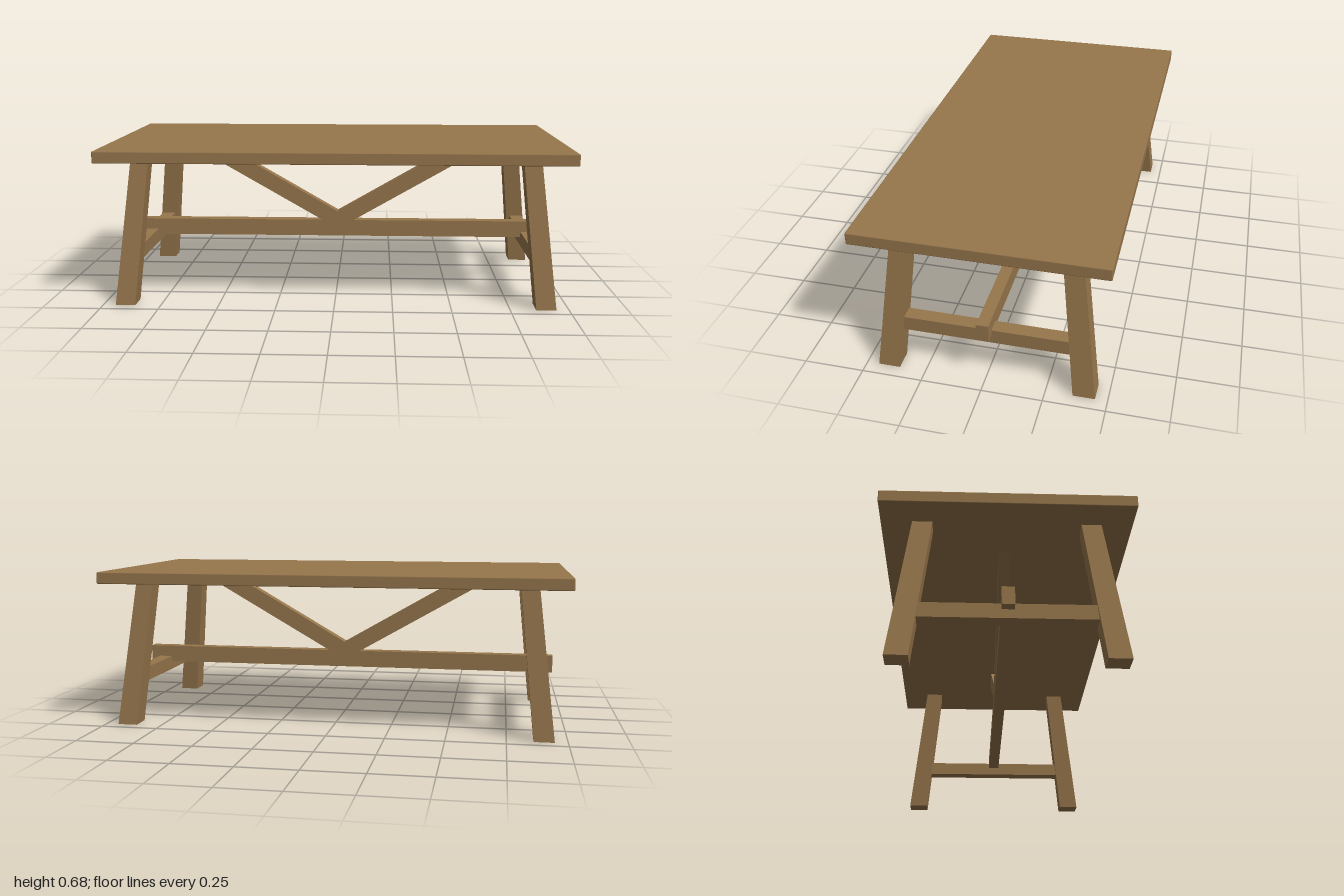
import * as THREE from 'three';
import { RoundedBoxGeometry } from 'three/addons/geometries/RoundedBoxGeometry.js';

const wood = new THREE.MeshStandardMaterial({ color: 0x96764c });
wood.name = 'oak wood';

export function createModel() {
  const table = new THREE.Group();
  table.name = 'trestleTable';

  const add = (name, geometry, x = 0, y = 0, z = 0) => {
    const mesh = new THREE.Mesh(geometry, wood);
    mesh.name = name;
    mesh.position.set(x, y, z);
    table.add(mesh);
    return mesh;
  };

  // Table top with barely eased edges
  const topBase = 0.627, topHeight = 0.05;
  add('tableTop', new RoundedBoxGeometry(2, topHeight, 1, 1, 0.004), 0, topBase + topHeight / 2, 0);

  // Splayed legs: tapered boxes leaning inward towards the top
  const foot = { x: 0.903, z: 0.405, w: 0.085, d: 0.09 };
  const head = { x: 0.833, z: 0.335, w: 0.076, d: 0.08 };
  const legGeometry = (sx, sz) => {
    const geometry = new THREE.BoxGeometry(1, topBase, 1);
    const p = geometry.attributes.position;
    for (let i = 0; i < p.count; i++) {
      const end = p.getY(i) > 0 ? head : foot;
      p.setXYZ(i, sx * end.x + p.getX(i) * end.w, p.getY(i) + topBase / 2, sz * end.z + p.getZ(i) * end.d);
    }
    geometry.computeVertexNormals();
    return geometry;
  };
  for (const [sx, side] of [[1, 'left'], [-1, 'right']]) {
    for (const [sz, place] of [[1, 'Front'], [-1, 'Back']]) {
      add(`${side}${place}Leg`, legGeometry(sx, sz));
    }
    // Rail joining the two legs of each end
    add(`${side}EndRail`, new THREE.BoxGeometry(0.06, 0.062, 0.72), sx * 0.88, 0.208, 0);
  }

  // Long stretcher, its ends passing over the end rails
  const beamDepth = 0.05;
  add('longStretcher', new THREE.BoxGeometry(1.9, 0.075, beamDepth), 0, 0.252, 0);

  // V-shaped pair of diagonal braces between stretcher and top
  const brace = new THREE.Shape([
    [0.07, 0.288], [0.66, topBase], [0.515, topBase], [0, 0.33],
    [-0.515, topBase], [-0.66, topBase], [-0.07, 0.288],
  ].map(([x, y]) => new THREE.Vector2(x, y)));
  add('diagonalBraces', new THREE.ExtrudeGeometry(brace, { depth: beamDepth, bevelEnabled: false }), 0, 0, -beamDepth / 2);

  return table;
}
